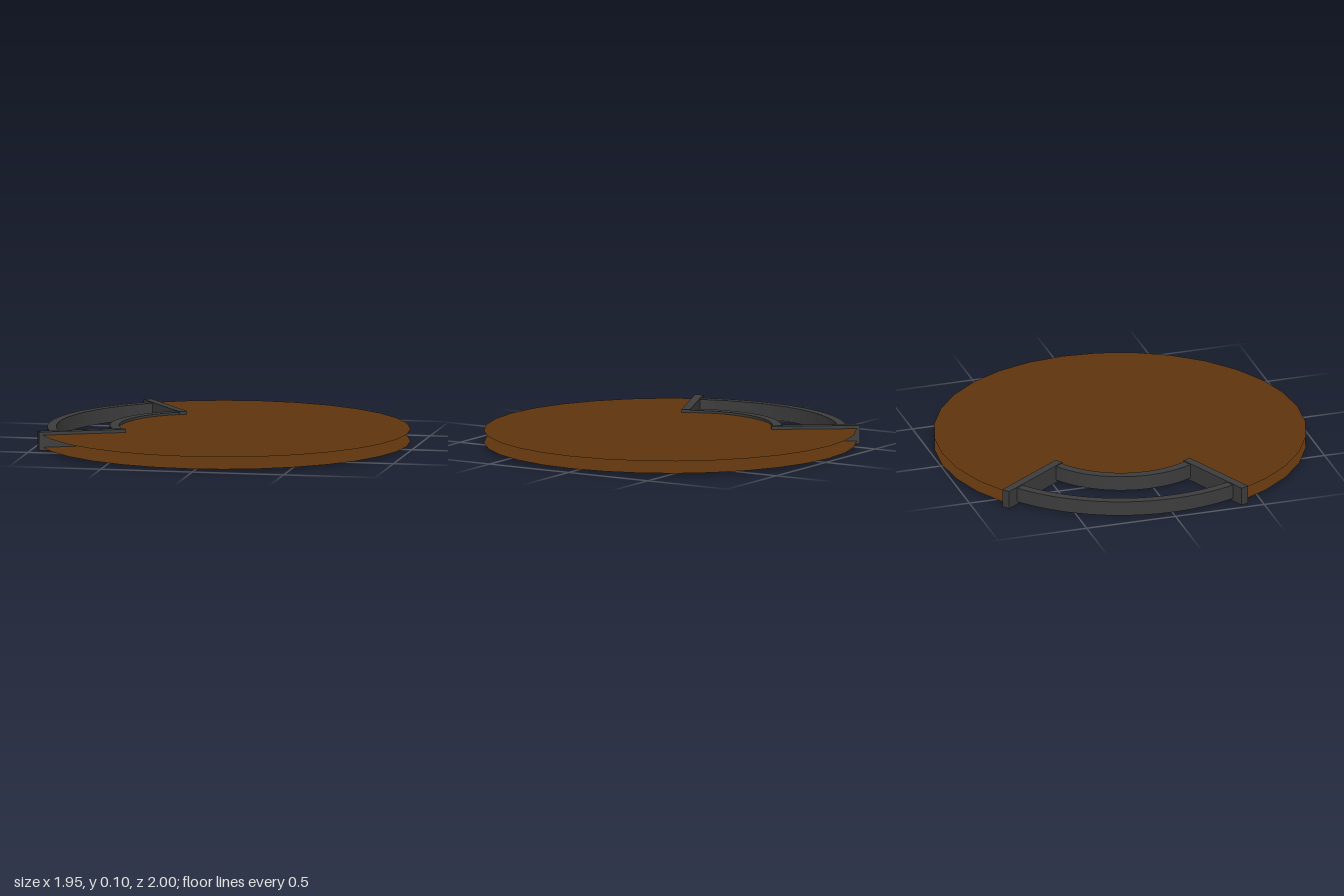
import * as THREE from 'three';

const rad = THREE.MathUtils.degToRad;
const CX = -0.027;              // disc centre in x
const START = 234.8, END = 156.7; // the notch runs between these angles (x towards z)
const MID = (START + END) / 2;

// Points along an arc, angles in degrees
function arcPoints(r, from, to, steps, cx = 0, cy = 0) {
  return Array.from({ length: steps + 1 }, (_, i) => {
    const a = rad(from + (to - from) * i / steps);
    return new THREE.Vector2(cx + r * Math.cos(a), cy + r * Math.sin(a));
  });
}

export function createModel() {
  const group = new THREE.Group();
  const brown = new THREE.MeshStandardMaterial({ color: 0x5f350e, side: THREE.DoubleSide });
  brown.name = 'brown surface';
  const grey = new THREE.MeshStandardMaterial({ color: 0x3d3d3d });
  grey.name = 'dark grey frame';

  function add(name, geometry, material, y) {
    const mesh = new THREE.Mesh(geometry, material);
    mesh.name = name;
    mesh.position.set(CX, y, 0);
    group.add(mesh);
    return mesh;
  }

  // Two open sheets: a 32-sided disc with a notch cut from its rim
  const step = 360 / 32;
  const rim = [...arcPoints(1, START, START, 1).slice(1)];
  for (let a = Math.ceil(START / step) * step; a < END + 360; a += step) {
    rim.push(new THREE.Vector2(Math.cos(rad(a)), Math.sin(rad(a))));
  }
  rim.push(...arcPoints(1, END, END, 1).slice(1));
  const notch = arcPoints(0.57, END, START, 12);
  const sheet = new THREE.ShapeGeometry(new THREE.Shape([...rim, ...notch]));
  sheet.rotateX(-Math.PI / 2).scale(1, 1, -1); // lay flat, shape y becomes z
  // Restore upward-facing winding after the mirror
  const index = sheet.index;
  for (let i = 0; i < index.count; i += 3) {
    const b = index.getX(i + 1);
    index.setX(i + 1, index.getX(i + 2));
    index.setX(i + 2, b);
  }
  const normals = sheet.attributes.normal;
  for (let i = 0; i < normals.count; i++) normals.setXYZ(i, 0, 1, 0);
  add('topSheet', sheet, brown, 0.083);
  add('bottomSheet', sheet, brown, 0.017);

  // Curved rails across the notch
  function rail(name, inner, outer, half, offset) {
    const cx = offset * Math.cos(rad(MID)), cy = offset * Math.sin(rad(MID));
    const outline = [
      ...arcPoints(outer, MID - half, MID + half, 24, cx, cy),
      ...arcPoints(inner, MID + half, MID - half, 24, cx, cy),
    ];
    const geometry = new THREE.ExtrudeGeometry(new THREE.Shape(outline), { depth: 0.08, bevelEnabled: false });
    geometry.rotateX(Math.PI / 2);
    add(name, geometry, grey, 0.095);
  }
  rail('outerRail', 0.9, 0.948, 38.8, 0);
  rail('innerRail', 0.47, 0.52, 46.5, 0.105);

  // Radial bars closing both sides of the notch
  for (const [name, angle] of [['backBar', START], ['frontBar', END]]) {
    const bar = add(name, new THREE.BoxGeometry(0.475, 0.1, 0.046), grey, 0.05);
    const a = rad(angle), r = 0.781;
    bar.position.x += r * Math.cos(a);
    bar.position.z = r * Math.sin(a);
    bar.rotation.y = -a;
  }
  return group;
}
